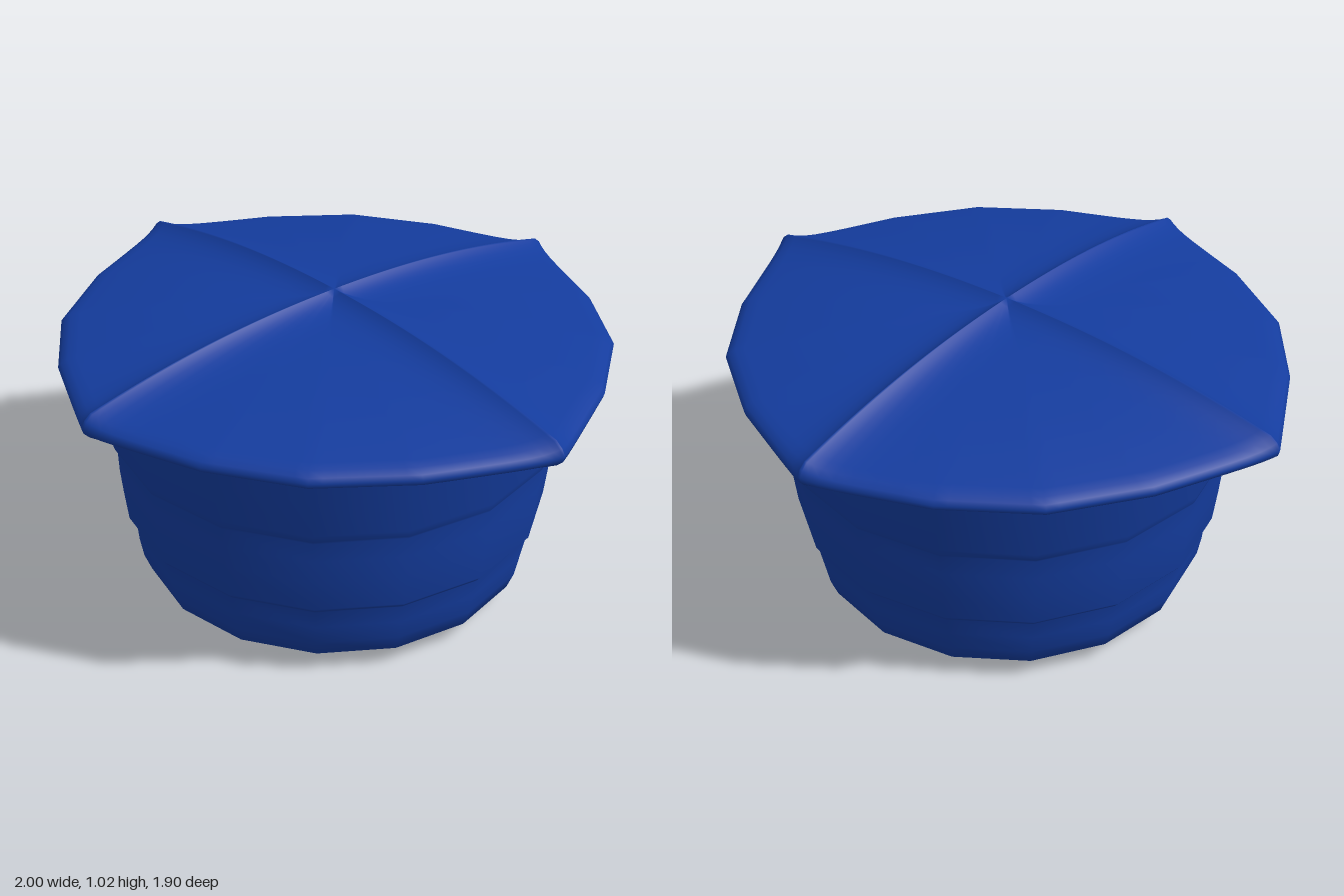
import * as THREE from 'three';

const material = new THREE.MeshStandardMaterial({ color: 0x143c9e });

// Outline of one quadrant (x, z); mirrored to give four pointed tips
const QUADRANT = [[1, 0], [0.82, 0.37], [0.63, 0.625], [0.37, 0.8], [0, 0.95]];

function outline() {
  const pts = [], steps = 8;
  for (let q = 0; q < 4; q++) {
    const sx = q === 0 || q === 3 ? 1 : -1;
    const sz = q < 2 ? 1 : -1;
    const corners = q % 2 ? [...QUADRANT].reverse() : QUADRANT;
    for (let c = 0; c < 4; c++) {
      for (let k = 0; k < steps; k++) {
        // samples crowd towards the ridges
        let t = k / steps;
        if (c === 0) t = t * t;
        if (c === 3) t = 1 - (1 - t) * (1 - t);
        const [ax, az] = corners[c], [bx, bz] = corners[c + 1];
        pts.push([sx * (ax + (bx - ax) * t), sz * (az + (bz - az) * t)]);
      }
    }
  }
  return pts;
}

// Domed lid: four shallow panels divided by raised ridges, rolled rim, flat underside
function lidGeometry() {
  const rim = outline(), n = rim.length, rings = 28;
  const pos = [], index = [];
  const addRing = (s, heightAt) => rim.forEach(([x, z]) => pos.push(x * s, heightAt(x * s, z * s), z * s));
  const ridgeWeight = (x, z) => Math.exp(-Math.min(Math.abs(x), Math.abs(z)) / 0.045);
  const top = (s) => (x, z) => {
    const ridge = 1.02 - 0.11 * Math.pow(s, 2.2);
    const panel = 0.98 - 0.095 * s * s;
    return panel + (ridge - panel) * ridgeWeight(x, z);
  };
  for (let i = 0; i <= rings; i++) addRing(0.965 * i / rings, top(0.965 * i / rings));
  addRing(0.988, (x, z) => 0.879 + 0.022 * ridgeWeight(x, z));
  addRing(1, (x, z) => 0.866 + 0.014 * ridgeWeight(x, z));
  addRing(0.995, (x, z) => 0.85 + 0.01 * ridgeWeight(x, z));
  for (const s of [0.975, 0.95, 0.8, 0]) addRing(s, () => 0.84);

  const count = pos.length / 3 / n;
  for (let i = 0; i < count - 1; i++) {
    for (let j = 0; j < n; j++) {
      const a = i * n + j, b = i * n + (j + 1) % n;
      if (i > 0) index.push(a, b, a + n);
      if (i < count - 2) index.push(b, b + n, a + n);
    }
  }
  const geo = new THREE.BufferGeometry();
  geo.setAttribute('position', new THREE.Float32BufferAttribute(pos, 3));
  geo.setIndex(index);
  geo.computeVertexNormals();
  // the two poles face straight up and down
  const normal = geo.attributes.normal;
  for (let j = 0; j < n; j++) {
    normal.setXYZ(j, 0, 1, 0);
    normal.setXYZ((count - 1) * n + j, 0, -1, 0);
  }
  return geo;
}

export function createModel() {
  const group = new THREE.Group();

  // Stepped tub, widening in three tiers
  const profile = [
    [0, 0], [0.3, 0.012], [0.53, 0.026], [0.585, 0.038], [0.64, 0.07], [0.663, 0.13],
    [0.675, 0.2], [0.68, 0.262], [0.692, 0.275], [0.703, 0.29], [0.715, 0.4],
    [0.722, 0.48], [0.724, 0.548], [0.732, 0.56], [0.739, 0.585], [0.764, 0.72], [0.786, 0.845],
  ].map(([r, y]) => new THREE.Vector2(r, y));
  const tub = new THREE.Mesh(new THREE.LatheGeometry(profile, 16), material);
  tub.name = 'tub';
  group.add(tub);

  const lid = new THREE.Mesh(lidGeometry(), material);
  lid.name = 'lid';
  group.add(lid);

  return group;
}
